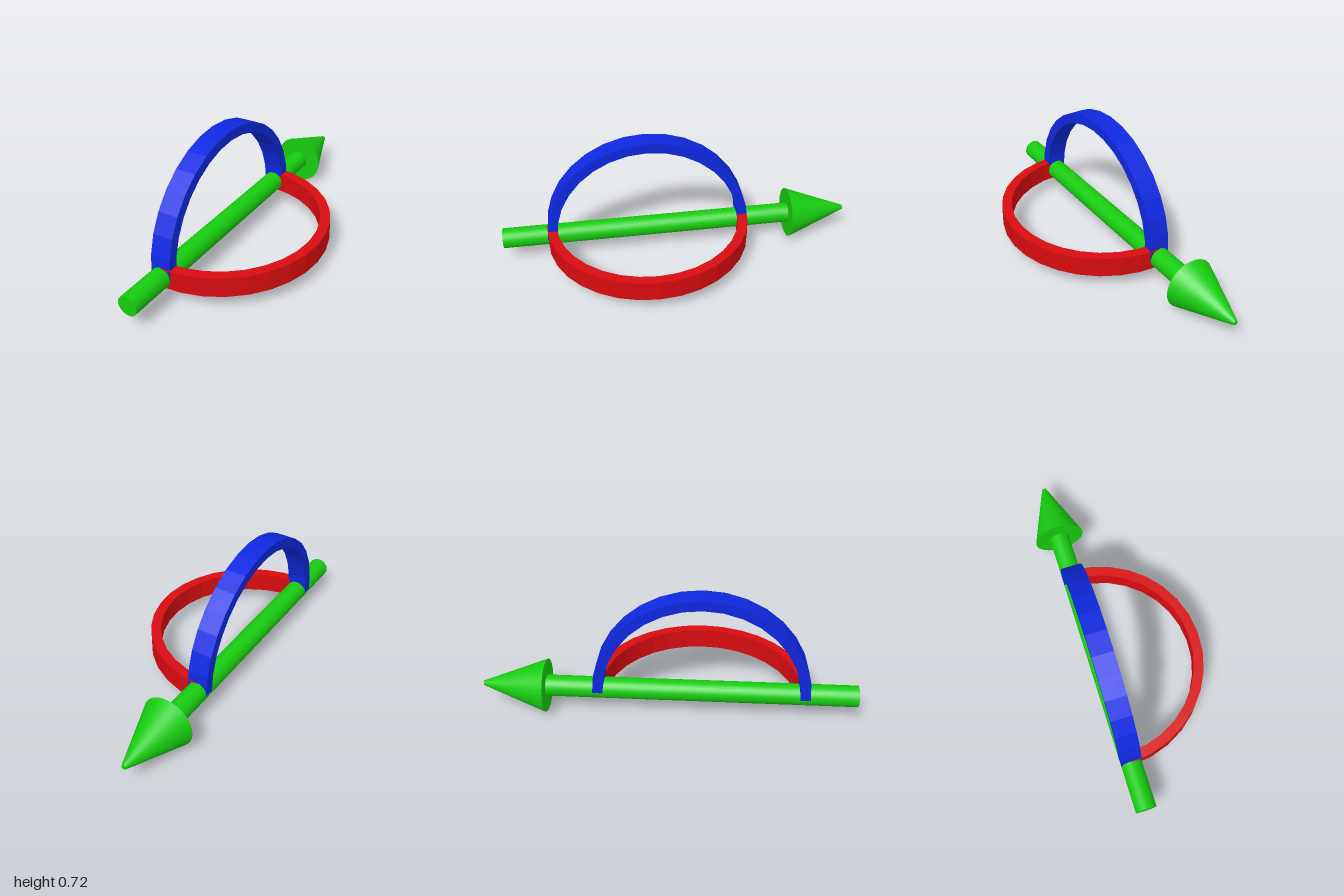
import * as THREE from 'three';

const AXIS_X = -0.217, AXIS_Y = 0.145, ARC_Z = 0.173;
const WIDTH = 0.114, OUTER = 0.577, INNER = 0.522, STEPS = 16;

// Faceted half ring in the upper XY half-plane, centred on z = 0
function halfRing() {
  const at = (r, i) => new THREE.Vector2(
    r * Math.cos(Math.PI * i / STEPS), r * Math.sin(Math.PI * i / STEPS));
  const points = [];
  for (let i = 0; i <= STEPS; i++) points.push(at(OUTER, i));
  for (let i = STEPS; i >= 0; i--) points.push(at(INNER, i));
  const geometry = new THREE.ExtrudeGeometry(new THREE.Shape(points),
    { depth: WIDTH, bevelEnabled: false });
  return geometry.translate(0, 0, -WIDTH / 2);
}

export function createModel() {
  const model = new THREE.Group();
  const green = new THREE.MeshStandardMaterial({ color: 0x17cc0f });
  const blue = new THREE.MeshStandardMaterial({ color: 0x0f28e0, flatShading: true });
  const red = new THREE.MeshStandardMaterial({ color: 0xd80c10, flatShading: true });

  const add = (name, geometry, material, z) => {
    const mesh = new THREE.Mesh(geometry, material);
    mesh.name = name;
    mesh.position.set(AXIS_X, AXIS_Y, z);
    model.add(mesh);
  };

  // Arrow along the z axis, pointing to the back
  const shaft = new THREE.CylinderGeometry(0.057, 0.057, 1.66, 32).rotateX(-Math.PI / 2);
  add('arrowShaft', shaft, green, 0.17);
  const head = new THREE.CylinderGeometry(0.013, 0.144, 0.345, 32).rotateX(-Math.PI / 2);
  add('arrowHead', head, green, -0.8275);

  // Upright arc
  add('uprightArc', halfRing().rotateY(Math.PI / 2), blue, ARC_Z);

  // Level arc, bulging to +x
  const level = new THREE.Matrix4().makeBasis(
    new THREE.Vector3(0, 0, 1), new THREE.Vector3(1, 0, 0), new THREE.Vector3(0, 1, 0));
  add('levelArc', halfRing().applyMatrix4(level), red, ARC_Z);

  return model;
}
